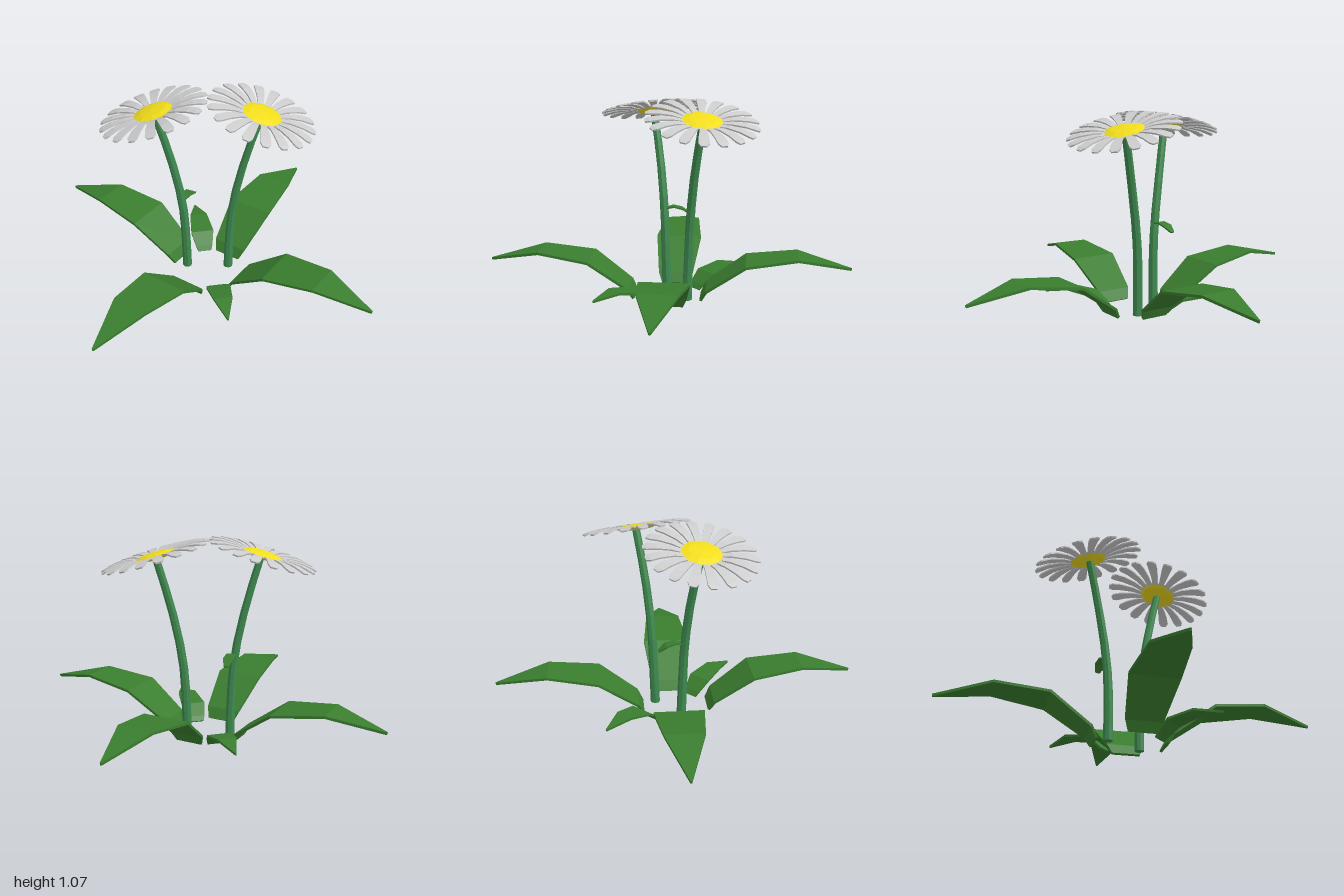
import * as THREE from 'three';

const mat = (color) => new THREE.MeshStandardMaterial({ color, flatShading: true, roughness: 0.9 });
const leafMat = mat(0x3a7d2f);
const stemMat = mat(0x3f8a50);
const petalMat = mat(0xe8e8e8);
const discMat = mat(0xf0dc1c);

// Thin bent slab running along +x; each profile row is [x, y, half width]
function bladeGeometry(profile, thickness) {
  const n = profile.length - 1;
  const geo = new THREE.BoxGeometry(1, 1, 1, n, 1, 1);
  const pos = geo.attributes.position;
  for (let i = 0; i < pos.count; i++) {
    const k = Math.round((pos.getX(i) + 0.5) * n);
    const [x, y, half] = profile[k];
    const a = profile[Math.max(k - 1, 0)], b = profile[Math.min(k + 1, n)];
    const dx = b[0] - a[0], dy = b[1] - a[1], len = Math.hypot(dx, dy);
    const off = Math.sign(pos.getY(i)) * thickness / 2;
    pos.setXYZ(i, x - dy / len * off, y + dx / len * off, Math.sign(pos.getZ(i)) * half);
  }
  geo.computeVertexNormals();
  return geo;
}

function addMesh(parent, name, geo, material) {
  const mesh = new THREE.Mesh(geo, material);
  mesh.name = name;
  parent.add(mesh);
  return mesh;
}

// Tapered stem following a curve
function stemGeometry(points) {
  const curve = new THREE.CatmullRomCurve3(points.map((p) => new THREE.Vector3(...p)));
  const rows = 7, sides = 8;
  const geo = new THREE.CylinderGeometry(1, 1, 1, sides, rows);
  const pos = geo.attributes.position;
  for (let i = 0; i < pos.count; i++) {
    const t = pos.getY(i) + 0.5;
    const c = curve.getPoint(t);
    const r = 0.026 - 0.005 * t;
    pos.setXYZ(i, c.x + pos.getX(i) * r, c.y, c.z + pos.getZ(i) * r);
  }
  geo.computeVertexNormals();
  return geo;
}

// Flower head: low domed disc with a ring of petals
function createFlower(petals) {
  const flower = new THREE.Group();
  const profile = [[0, -0.014], [0.085, -0.012], [0.112, 0.002], [0.07, 0.014], [0, 0.02]];
  addMesh(flower, 'flowerDisc',
    new THREE.LatheGeometry(profile.map((p) => new THREE.Vector2(...p)), 10), discMat);
  const petal = bladeGeometry(
    [[0.08, -0.004, 0.013], [0.15, 0.01, 0.019], [0.22, 0.011, 0.025], [0.27, 0.003, 0.027], [0.29, -0.004, 0.015]], 0.008);
  for (let i = 0; i < petals; i++) {
    const mesh = addMesh(flower, 'petal', petal, petalMat);
    mesh.rotation.y = (i + 0.3) / petals * Math.PI * 2;
  }
  return flower;
}

export function createModel() {
  const model = new THREE.Group();
  model.name = 'floweringPlant';

  // Four large arching leaves
  const large = bladeGeometry([[0.185, 0.006, 0.075], [0.215, 0.06, 0.097],
    [0.43, 0.212, 0.13], [0.71, 0.25, 0.1], [1, 0.185, 0.004]], 0.014);
  for (let i = 0; i < 4; i++) {
    const leaf = addMesh(model, 'largeLeaf', large, leafMat);
    leaf.rotation.y = i * Math.PI / 2;
    if (i % 2) {
      leaf.position.x = 0.02;
      leaf.scale.x = 0.98;
    } else {
      leaf.position.z = -0.02;
    }
  }

  // Two small leaves on the diagonal
  const small = bladeGeometry([[0.165, 0.006, 0.038], [0.185, 0.03, 0.048],
    [0.25, 0.083, 0.066], [0.385, 0.11, 0.05], [0.52, 0.085, 0.003]], 0.012);
  for (const turn of [0, Math.PI]) {
    const leaf = addMesh(model, 'smallLeaf', small, leafMat);
    leaf.position.set(0.01, 0, -0.02);
    leaf.rotation.y = -Math.PI / 4 + turn;
  }

  // Two stems, each with a tilted flower; the second is the first turned half way round
  const path = [[-0.12, 0.005, 0.02], [-0.123, 0.25, 0.028], [-0.138, 0.45, 0.036],
    [-0.187, 0.72, 0.063], [-0.25, 0.98, 0.105]];
  const up = new THREE.Vector3(0, 1, 0);
  for (const side of [1, -1]) {
    const points = side > 0 ? path : path.map(([x, y, z]) => [-0.045 - x, y, -0.088 - z]);
    addMesh(model, side > 0 ? 'rightStem' : 'leftStem', stemGeometry(points), stemMat);
    const flower = createFlower(18);
    flower.name = side > 0 ? 'rightFlower' : 'leftFlower';
    flower.position.set(side > 0 ? -0.26 : 0.21, 0.992, side > 0 ? 0.105 : -0.19);
    flower.quaternion.setFromUnitVectors(up, new THREE.Vector3(-0.27 * side, 1, 0.12 * side).normalize());
    model.add(flower);
  }

  // Little leaf growing backwards from the right stem
  const sprout = addMesh(model, 'stemLeaf', bladeGeometry([[0, -0.005, 0.01], [0.05, 0.008, 0.026],
    [0.1, -0.005, 0.03], [0.14, -0.035, 0.012]], 0.008), leafMat);
  sprout.position.set(-0.135, 0.46, 0.035);
  sprout.rotation.set(0, Math.PI / 2 + 0.15, 0);
  return model;
}
